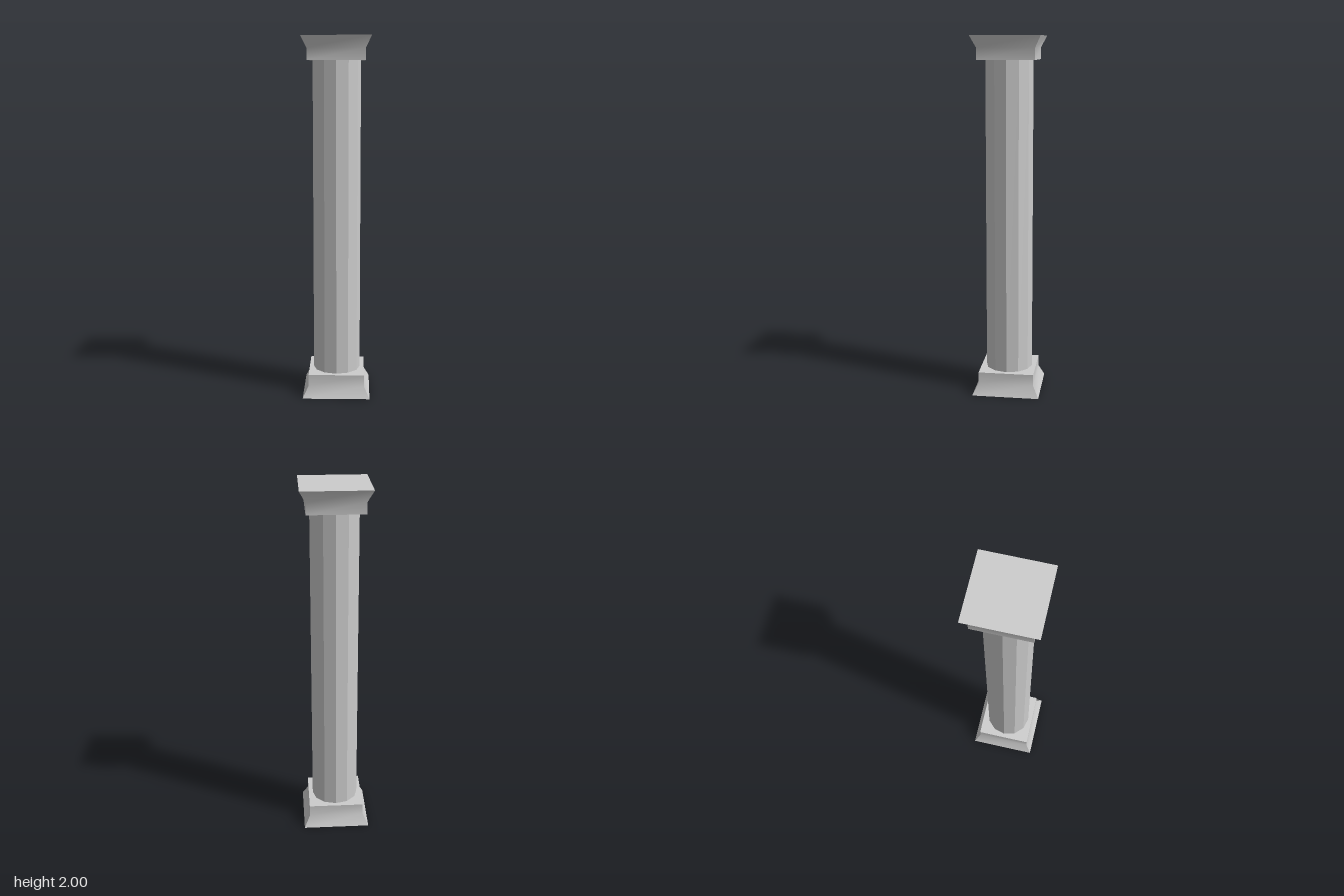
import * as THREE from 'three';

const HEIGHT = 2;
const BLOCK_H = 0.128;   // height of plinth and capital
const WIDE = 0.188;      // half width at the flared end
const NARROW = 0.156;    // half width of the straight part
const SHAFT_R = 0.132;

// Square block: flared lower half, straight upper half.
// Each face is smooth across the bend, with sharp corners between faces.
function flaredBlock() {
  const geo = new THREE.BoxGeometry(2 * NARROW, BLOCK_H, 2 * NARROW, 1, 2, 1);
  geo.translate(0, BLOCK_H / 2, 0);
  const p = geo.attributes.position;
  const flare = WIDE / NARROW;
  for (let i = 0; i < p.count; i++) {
    if (p.getY(i) < 0.001) p.setXYZ(i, p.getX(i) * flare, 0, p.getZ(i) * flare);
  }
  geo.computeVertexNormals();
  return geo;
}

export function createModel() {
  const group = new THREE.Group();
  group.name = 'column';
  const smooth = new THREE.MeshStandardMaterial({ color: 0xcccccc });
  const flat = new THREE.MeshStandardMaterial({ color: 0xcccccc, flatShading: true });

  // Plinth at the foot
  const base = new THREE.Mesh(flaredBlock(), smooth);
  base.name = 'base';

  // Capital: the same block turned upside down
  const capital = new THREE.Mesh(flaredBlock(), smooth);
  capital.name = 'capital';
  capital.rotation.x = Math.PI;
  capital.position.y = HEIGHT;

  // Twelve-sided shaft between the blocks
  const shaft = new THREE.Mesh(
    new THREE.CylinderGeometry(SHAFT_R, SHAFT_R, HEIGHT - 2 * BLOCK_H, 12, 1, true), flat);
  shaft.name = 'shaft';
  shaft.position.y = HEIGHT / 2;

  group.add(base, shaft, capital);
  return group;
}
